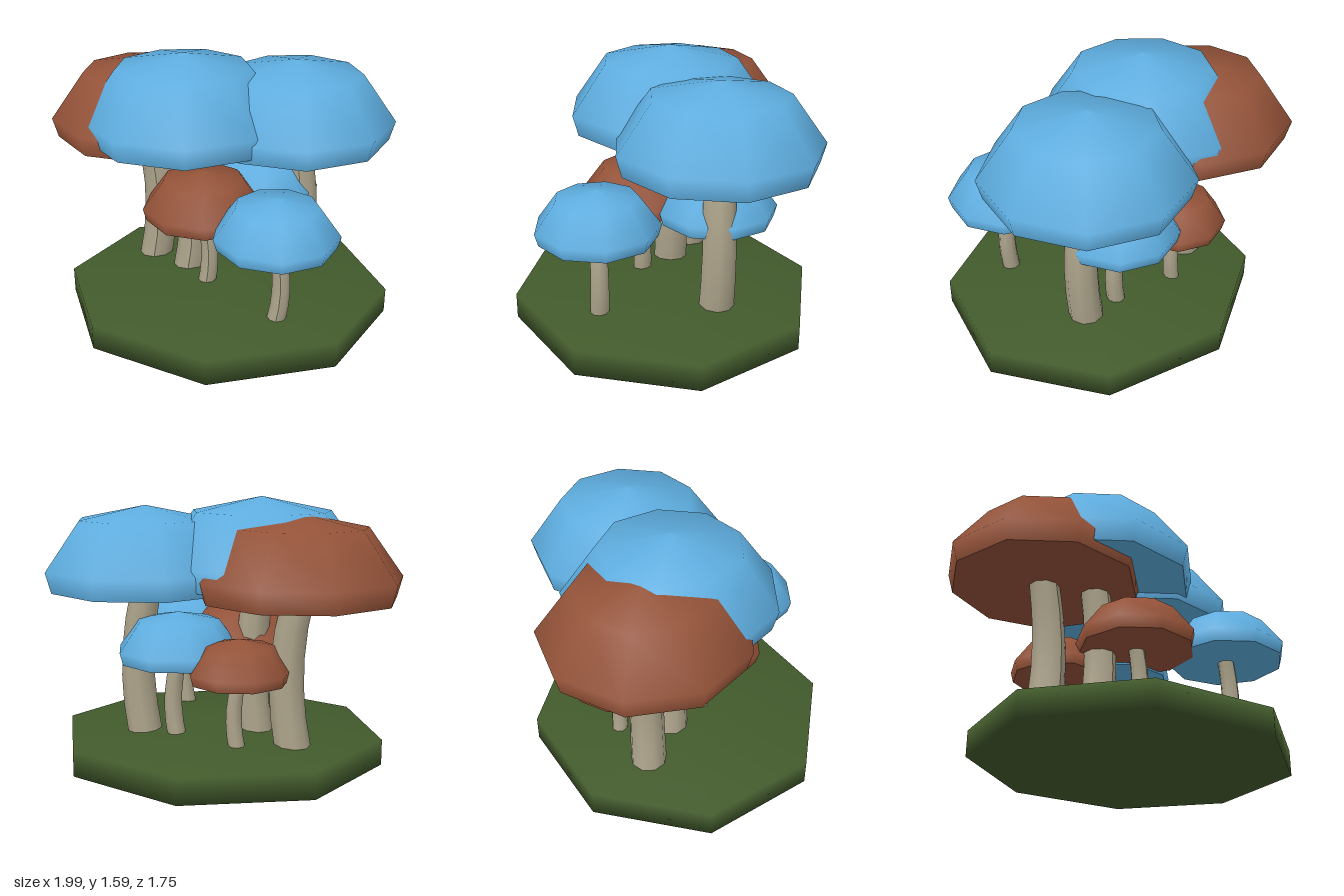
import * as THREE from 'three';

const mat = (name, color) => Object.assign(new THREE.MeshStandardMaterial({ color }), { name });

export function createModel() {
  const blue = mat('blue cap', 0x5dacde);
  const brown = mat('brown cap', 0x935238);
  const green = mat('moss green', 0x425a2c);
  const stone = mat('pale stalk', 0xada48b);

  const model = new THREE.Group();
  model.name = 'mushroomCluster';

  const add = (parent, name, geometry, material) => {
    const mesh = new THREE.Mesh(geometry, material);
    mesh.name = name;
    parent.add(mesh);
    return mesh;
  };

  // Mossy ground: a squashed eight-sided ball
  const ground = add(model, 'ground', new THREE.SphereGeometry(1, 8, 3), green);
  ground.scale.set(1.097, 0.1475, 1.01);
  ground.position.set(0.04, 0.1475, 0);

  // Unit cap: nine-sided dome tucked in at the rim, with a flat underside
  const profile = [[0.945, 0], [1, 0.25], [0.66, 0.835], [0, 1]];
  const dome = new THREE.LatheGeometry(profile.map(([r, y]) => new THREE.Vector2(r, y)), 9, Math.PI / 2);
  const underside = new THREE.CircleGeometry(0.945, 9).rotateX(Math.PI / 2);

  // Stalk: tapered tube bowed sideways, ending under the cap centre
  const BASE = 0.235;
  function stalk(height, r, bow) {
    const g = new THREE.CylinderGeometry(r * 0.87, r, height, 9, 5);
    g.translate(0, height / 2, 0);
    const p = g.attributes.position;
    for (let i = 0; i < p.count; i++) {
      const t = p.getY(i) / height;
      p.setX(i, p.getX(i) + bow * (0.02 + 0.172 * t - 0.192 * t * t));
    }
    g.computeVertexNormals();
    return g;
  }

  function mushroom(name, material, x, z, under, height, radius, stalkRadius, bow) {
    const group = new THREE.Group();
    group.name = name;
    group.position.set(x, 0, z);
    const cap = new THREE.Group();
    cap.name = 'cap';
    cap.position.y = under;
    cap.scale.set(radius, height, radius);
    add(cap, 'dome', dome, material);
    add(cap, 'underside', underside, material);
    group.add(cap);
    add(group, 'stalk', stalk(under - BASE, stalkRadius, bow), stone).position.y = BASE;
    model.add(group);
  }

  // Tall mushrooms
  mushroom('tallLeftMushroom', blue, 0.41, -0.22, 1.08, 0.46, 0.575, 0.1, 1);
  mushroom('tallMiddleMushroom', blue, -0.22, -0.09, 1.11, 0.48, 0.592, 0.1, 1);
  mushroom('tallRightMushroom', brown, -0.46, -0.265, 1.06, 0.455, 0.572, 0.103, 1);
  // Short mushrooms
  mushroom('shortFrontMushroom', blue, 0.36, 0.43, 0.695, 0.275, 0.347, 0.054, 0.6);
  mushroom('shortMiddleMushroom', brown, -0.08, 0.11, 0.695, 0.275, 0.35, 0.054, 0.6);
  mushroom('shortBackMushroom', blue, 0.21, -0.27, 0.685, 0.275, 0.345, 0.054, 0.6);
  mushroom('smallBackMushroom', brown, -0.167, -0.39, 0.615, 0.235, 0.285, 0.047, 0.5);

  return model;
}
